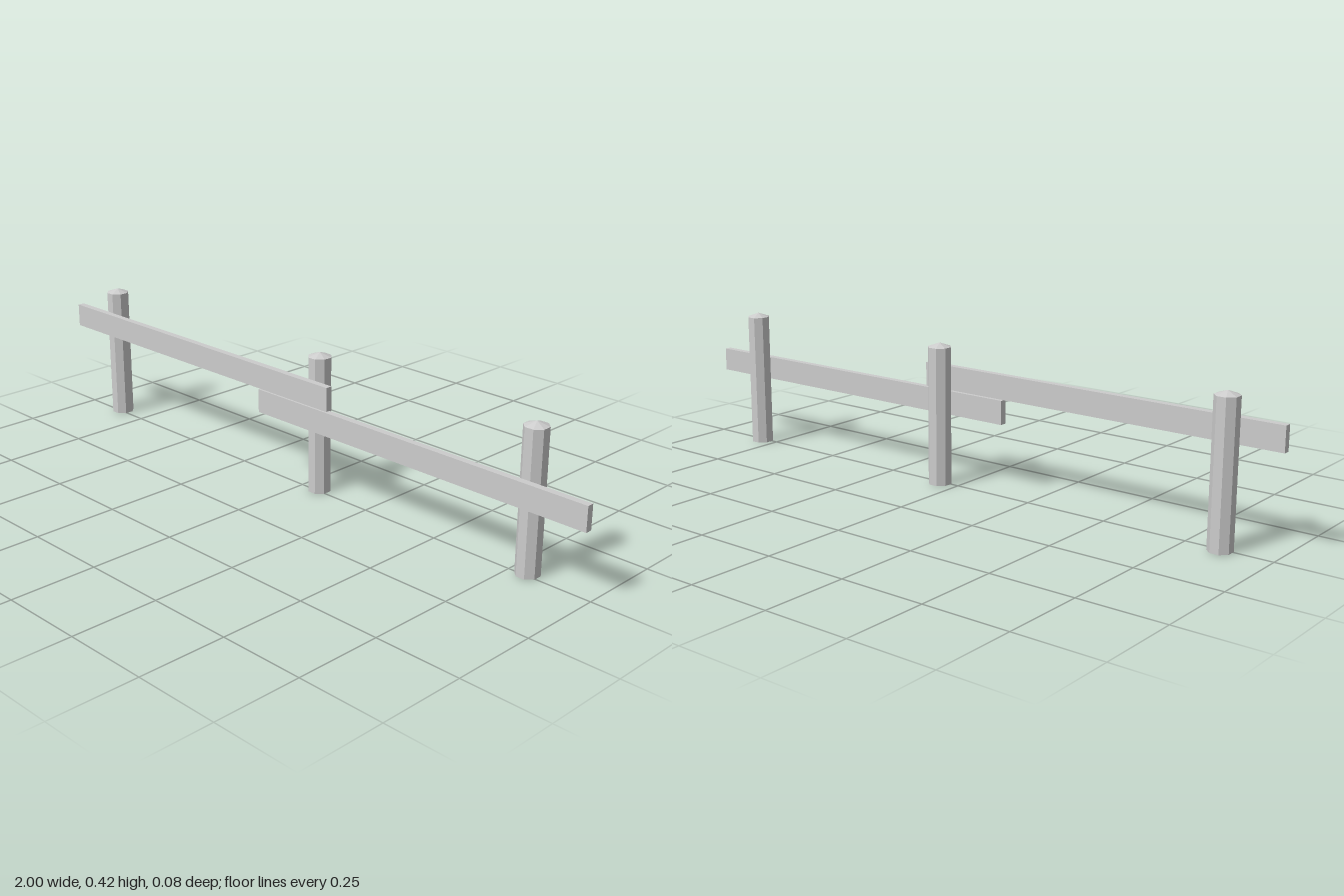
import * as THREE from 'three';

export function createModel() {
  const model = new THREE.Group();
  model.name = 'railFence';
  const grey = new THREE.MeshStandardMaterial({ color: 0xcccccc, flatShading: true, side: THREE.DoubleSide });
  grey.name = 'lightGrey';

  function add(parent, name, geometry, x, y, z) {
    const mesh = new THREE.Mesh(geometry, grey);
    mesh.name = name;
    mesh.position.set(x, y, z);
    parent.add(mesh);
  }

  // Octagonal posts, hollow at the foot, each with a shallow pointed cap
  const radius = 0.0343, shaftHeight = 0.405, capHeight = 0.012;
  const shaft = new THREE.CylinderGeometry(radius, radius, shaftHeight, 8, 1, true).rotateY(Math.PI / 8);
  const cap = new THREE.ConeGeometry(radius, capHeight, 8, 1, true).rotateY(Math.PI / 8);
  for (const [name, x] of [['rightPost', -0.856], ['middlePost', 0.059], ['leftPost', 0.802]]) {
    const post = new THREE.Group();
    post.name = name;
    post.position.set(x, 0, -0.01);
    add(post, 'shaft', shaft, 0, shaftHeight / 2, 0);
    add(post, 'cap', cap, 0, shaftHeight + capHeight / 2, 0);
    model.add(post);
  }

  // Two staggered rails on the front of the posts, overlapping at the middle post
  const rail = new THREE.BoxGeometry(1.137, 0.07, 0.02);
  add(model, 'upperRail', rail, -0.4315, 0.3085, 0.033);
  add(model, 'lowerRail', rail, 0.4315, 0.235, 0.033);

  return model;
}
